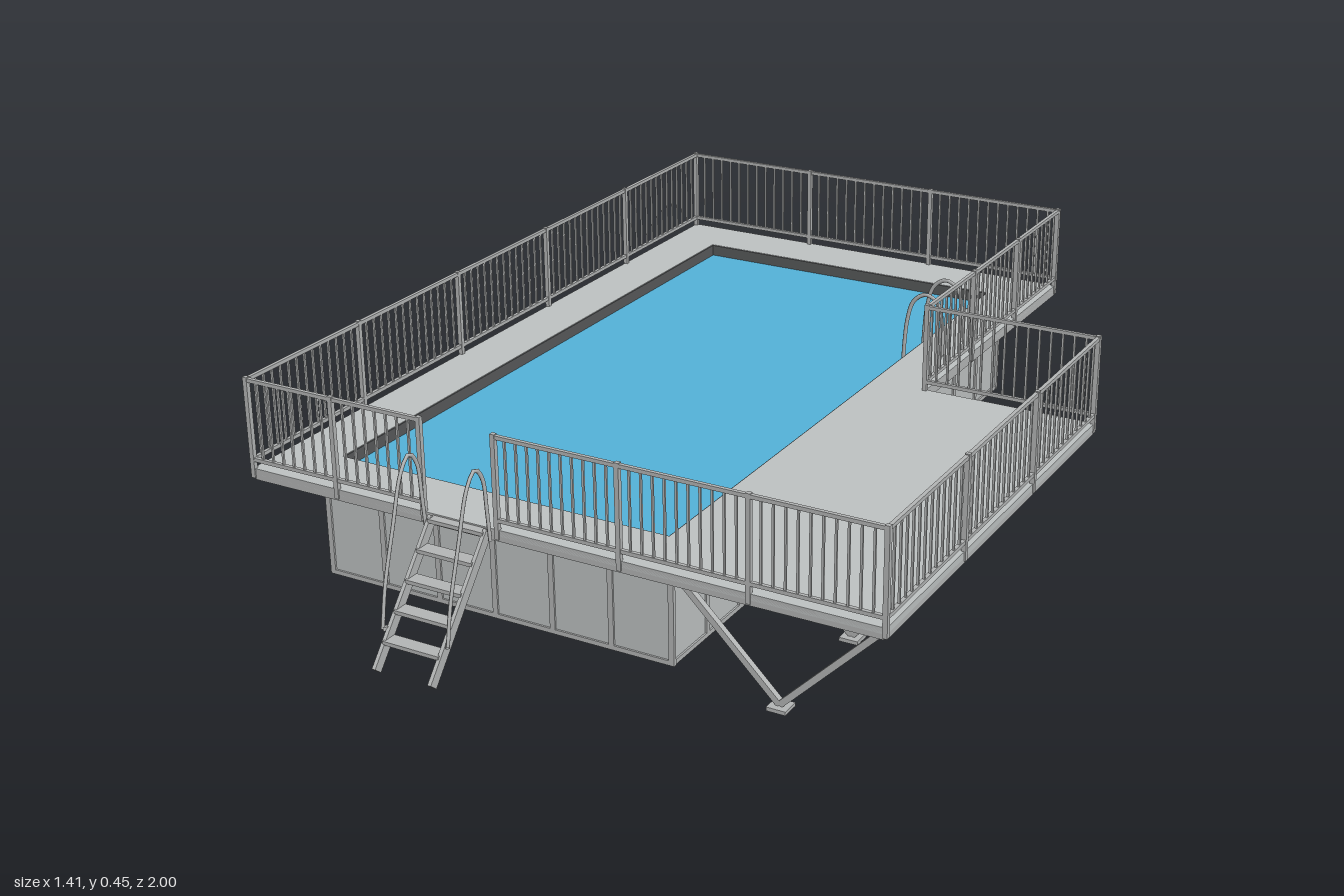
import * as THREE from 'three';

const mat = (name, color) => {
  const m = new THREE.MeshStandardMaterial({ color });
  m.name = name;
  return m;
};

export function createModel() {
  const M = {
    deck: mat('deckGrey', 0xbfc3c3),
    wall: mat('wallGrey', 0xbec2c2),
    steel: mat('steelGrey', 0xb4b6b6),
    water: mat('waterBlue', 0x54b3da),
    liner: mat('linerBlue', 0x2a76ae),
    coping: mat('copingDark', 0x585a5b),
  };
  const model = new THREE.Group();
  model.name = 'raisedPool';
  const V = (x, y, z) => new THREE.Vector3(x, y, z);

  const group = (name) => {
    const g = new THREE.Group();
    g.name = name;
    model.add(g);
    return g;
  };
  // Box given by its min and max corners
  const box = (parent, name, m, x0, x1, y0, y1, z0, z1) => {
    const b = new THREE.Mesh(new THREE.BoxGeometry(x1 - x0, y1 - y0, z1 - z0), m);
    b.position.set((x0 + x1) / 2, (y0 + y1) / 2, (z0 + z1) / 2);
    b.name = name;
    parent.add(b);
  };
  // Bar running from a to b
  const beam = (parent, name, m, a, b, w, h = w) => {
    const bar = new THREE.Mesh(new THREE.BoxGeometry(w, h, a.distanceTo(b)), m);
    bar.position.copy(a).lerp(b, 0.5);
    bar.lookAt(b);
    bar.name = name;
    parent.add(bar);
  };
  // Bent oval bar lying in one plane, flattened across it
  const bentBar = (parent, name, points, axis, offset) => {
    const t = new THREE.Mesh(
      new THREE.TubeGeometry(new THREE.CatmullRomCurve3(points), 32, 0.0048, 8), M.steel);
    t.scale[axis] = 0.65;
    t.position[axis] = offset;
    t.name = name;
    parent.add(t);
  };

  // Main levels and extents
  const TOP = 0.255, UNDER = 0.232;
  const px0 = -0.597, px1 = 0.21, pz0 = -0.892, pz1 = 0.687;
  const wx0 = -0.578, wx1 = 0.19, wz0 = -0.87, wz1 = 0.657;
  const corners = [[-0.7, 0.788], [0.7, 0.788], [0.7, -0.232], [0.314, -0.232], [0.314, -1], [-0.7, -1]];

  // Deck slab with the pool opening
  const outline = new THREE.Shape(corners.map(([x, z]) => new THREE.Vector2(x, -z)));
  outline.holes.push(new THREE.Path([[wx0, wz0], [wx1, wz0], [wx1, wz1], [wx0, wz1]]
    .map(([x, z]) => new THREE.Vector2(x, -z))));
  const slab = new THREE.Mesh(
    new THREE.ExtrudeGeometry(outline, { depth: 0.013, bevelEnabled: false }), M.deck);
  slab.rotation.x = -Math.PI / 2;
  slab.position.y = TOP - 0.013;
  slab.name = 'deck';
  model.add(slab);

  // Edge beams around the deck
  const edge = group('deckEdge');
  corners.forEach(([x, z], i) => {
    const [x2, z2] = corners[(i + 1) % corners.length];
    const c = (a) => Math.sign(a) * (Math.abs(a) - 0.005);
    const y = (TOP + UNDER) / 2 - 0.001;
    beam(edge, 'edgeBeam', M.steel, V(c(x), y, c(z)), V(c(x2), y, c(z2)), 0.01, TOP - UNDER);
  });

  // Pool basin: walls, floor, water and coping
  const pool = group('pool');
  const t = 0.012;
  box(pool, 'frontWall', M.wall, px0, px1, 0.003, 0.242, pz1 - t, pz1);
  box(pool, 'backWall', M.wall, px0, px1, 0.003, 0.242, pz0, pz0 + t);
  box(pool, 'rightWall', M.wall, px0, px0 + t, 0.003, 0.242, pz0 + t, pz1 - t);
  box(pool, 'leftWall', M.wall, px1 - t, px1, 0.003, 0.242, pz0 + t, pz1 - t);
  box(pool, 'floor', M.liner, px0 + 0.004, px1 - 0.004, 0.001, 0.01, pz0 + 0.004, pz1 - 0.004);
  box(pool, 'water', M.water, wx0, wx1, 0.215, 0.228, wz0, wz1);
  const cy0 = 0.21, cy1 = TOP - 0.001, ct = 0.003;
  box(pool, 'coping', M.coping, wx0, wx1, cy0, cy1, wz0, wz0 + ct);
  box(pool, 'coping', M.coping, wx0, wx1, cy0, cy1, wz1 - ct, wz1);
  box(pool, 'coping', M.coping, wx0, wx0 + ct, cy0, cy1, wz0, wz1);
  box(pool, 'coping', M.coping, wx1 - ct, wx1, cy0, cy1, wz0, wz1);

  // Wall ribs and bottom rails
  const ribs = group('wallRibs');
  const w = 0.006, d = 0.004;
  for (let i = 0; i <= 6; i++) {
    const x = px0 + (i * (px1 - px0)) / 6;
    for (const z of [pz0, pz1]) box(ribs, 'rib', M.steel, x - w, x + w, 0, 0.24, z - d, z + d);
  }
  for (let i = 1; i < 12; i++) {
    const z = pz0 + (i * (pz1 - pz0)) / 12;
    for (const x of [px0, px1]) box(ribs, 'rib', M.steel, x - d, x + d, 0, 0.24, z - w, z + w);
  }
  for (const z of [pz0, pz1]) box(ribs, 'bottomRail', M.steel, px0 - d, px1 + d, 0, 0.01, z - d, z + d);
  for (const x of [px0, px1]) box(ribs, 'bottomRail', M.steel, x - d, x + d, 0, 0.01, pz0, pz1);

  // Angled brackets between walls and overhang
  const brackets = group('brackets');
  const bracket = (x, z, dx, dz) =>
    beam(brackets, 'bracket', M.steel, V(x, 0.195, z), V(x + dx * 0.055, 0.236, z + dz * 0.055), 0.01);
  for (const x of [-0.563, -0.318, -0.07, 0.177]) {
    bracket(x, pz1, 0, 1);
    bracket(x, pz0, 0, -1);
  }
  for (const z of [-0.83, -0.6, -0.35]) bracket(px1, z, 1, 0);
  for (let i = 0; i < 7; i++) bracket(px0, -0.83 + i * 0.243, -1, 0);

  // Support frames under the wide side of the deck
  const frames = group('deckSupports');
  const frameZ = [0.73, 0.43, 0.13, -0.17];
  frameZ.forEach((z, i) => {
    const foot = V(0.465, 0.01, z);
    beam(frames, 'supportLeg', M.steel, foot, V(0.235, 0.236, z), 0.013);
    beam(frames, 'supportLeg', M.steel, foot, V(0.69, 0.236, z), 0.013);
    box(frames, 'footPlate', M.steel, 0.445, 0.485, 0, 0.008, z - 0.02, z + 0.02);
    box(frames, 'joist', M.steel, px1, 0.69, 0.228, 0.242, z - 0.007, z + 0.007);
    if (i < 3) {
      const n = frameZ[i + 1];
      beam(frames, 'diagonalBrace', M.steel, V(0.22, 0.237, z), V(0.69, 0.237, n), 0.013, 0.009);
      for (const f of [1 / 3, 2 / 3]) {
        const s = z + (n - z) * f;
        box(frames, 'joist', M.steel, px1, 0.69, 0.234, 0.242, s - 0.004, s + 0.004);
      }
    }
  });

  // Railings: posts at equal steps, two rails, thin pickets
  const railing = group('railing');
  const run = (x0, z0, x1, z1, bays) => {
    const a = V(x0, 0, z0), b = V(x1, 0, z1);
    const at = (f, y) => a.clone().lerp(b, f).setY(y);
    beam(railing, 'topRail', M.steel, at(0, 0.446), at(1, 0.446), 0.008);
    beam(railing, 'bottomRail', M.steel, at(0, 0.275), at(1, 0.275), 0.008);
    const per = Math.round(a.distanceTo(b) / bays / 0.0255);
    for (let i = 0; i <= bays * per; i++) {
      const p = at(i / (bays * per), 0);
      const isPost = i % per === 0;
      const h = isPost ? 0.005 : 0.0022;
      box(railing, isPost ? 'post' : 'picket', M.steel, p.x - h, p.x + h,
        isPost ? 0.235 : 0.275, isPost ? 0.452 : 0.446, p.z - h, p.z + h);
    }
  };
  const E = 0.698, F = 0.786, B = -0.996, N = -0.23, C = 0.312;
  run(-E, F, -0.28, F, 2);
  run(-0.11, F, E, F, 3);
  run(E, F, E, N, 3);
  run(E, N, C, N, 1);
  run(C, N, C, B, 3);
  run(C, B, -E, B, 3);
  run(-E, B, -E, F, 5);

  // Entry steps with looped handrails
  const steps = group('entrySteps');
  for (const s of [-1, 1]) {
    const x = -0.194 + s * 0.064;
    beam(steps, 'stringer', M.steel, V(x, 0.012, 0.99), V(x, 0.25, 0.79), 0.008, 0.022);
    const h = -0.193 + s * 0.075;
    bentBar(steps, 'handrail', [V(0, 0.08, 0.95), V(0, 0.16, 0.935), V(0, 0.27, 0.9),
      V(0, 0.37, 0.865), V(0, 0.397, 0.838), V(0, 0.37, 0.815), V(0, 0.3, 0.806), V(0, 0.235, 0.8)], 'x', h);
    beam(steps, 'handrailMount', M.steel, V(h, 0.08, 0.95), V(x, 0.08, 0.935), 0.008);
  }
  for (let i = 0; i < 5; i++) {
    const y = 0.06 + i * 0.047, z = 0.95 - i * 0.0395;
    box(steps, 'tread', M.steel, -0.258, -0.13, y - 0.004, y + 0.004, z - 0.016, z + 0.016);
  }

  // Pool exit grab loops
  const loops = group('grabLoops');
  for (const z of [-0.54, -0.43]) {
    bentBar(loops, 'grabLoop', [V(0.262, 0.25, 0), V(0.261, 0.33, 0), V(0.25, 0.378, 0),
      V(0.22, 0.395, 0), V(0.19, 0.375, 0), V(0.176, 0.33, 0), V(0.17, 0.27, 0), V(0.168, 0.215, 0)], 'z', z);
  }
  return model;
}
